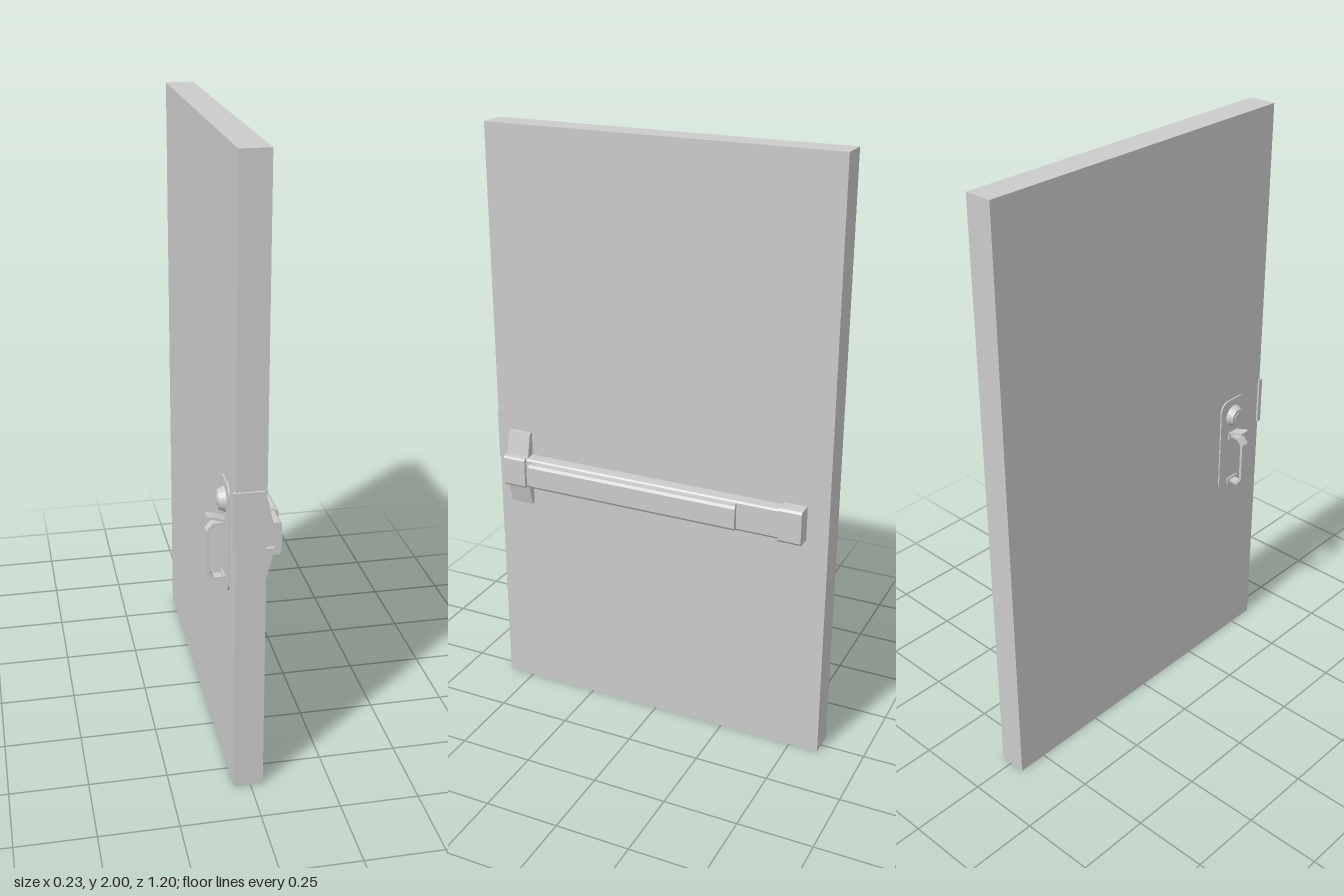
import * as THREE from 'three';

const material = new THREE.MeshStandardMaterial({ color: 0xcccccc });
const flat = new THREE.MeshStandardMaterial({ color: 0xcccccc, flatShading: true });

export function createModel() {
  const model = new THREE.Group();

  const add = (name, geometry, mat = flat, parent = model) => {
    const mesh = new THREE.Mesh(geometry, mat);
    mesh.name = name;
    parent.add(mesh);
    return mesh;
  };
  // Box given by its limits on each axis
  const box = (name, x0, x1, y0, y1, z0, z1, parent) => {
    const mesh = add(name, new THREE.BoxGeometry(x1 - x0, y1 - y0, z1 - z0), flat, parent);
    mesh.position.set((x0 + x1) / 2, (y0 + y1) / 2, (z0 + z1) / 2);
    return mesh;
  };
  const polygon = (points) => new THREE.Shape(points.map(([x, y]) => new THREE.Vector2(x, y)));
  // Profile in x and y, swept along z
  const sweep = (name, shape, z0, z1, parent) => {
    const mesh = add(name, new THREE.ExtrudeGeometry(shape, { depth: z1 - z0, bevelEnabled: false }), flat, parent);
    mesh.position.z = z0;
    return mesh;
  };

  // Door slab
  box('doorSlab', -0.053, 0.04, 0, 2, -0.6, 0.595);

  // Edge guard plate with a lip folded round the outer face
  const guard = new THREE.Group();
  guard.name = 'edgePlate';
  model.add(guard);
  box('edgePlateFace', -0.06, 0.034, 0.853, 1.02, 0.594, 0.602, guard);
  box('edgePlateLip', -0.06, -0.052, 0.853, 1.02, 0.587, 0.602, guard);

  // Exit device on the inner face
  const device = new THREE.Group();
  device.name = 'exitDevice';
  model.add(device);

  // Lock head: sloping wings above and below a square middle, with a latch recess
  const head = polygon([
    [0.04, 0.706], [0.053, 0.706], [0.071, 0.783], [0.092, 0.783], [0.097, 0.79],
    [0.097, 0.882], [0.092, 0.889], [0.071, 0.889], [0.053, 0.968], [0.04, 0.968],
  ]);
  head.holes.push(new THREE.Path([
    [0.045, 0.805], [0.045, 0.867], [0.075, 0.867], [0.075, 0.805],
  ].map(([x, y]) => new THREE.Vector2(x, y))));
  sweep('lockHead', head, 0.466, 0.547, device);
  box('lockHeadLatch', 0.044, 0.076, 0.804, 0.868, 0.466, 0.535, device);

  // Rail body
  sweep('rail', polygon([
    [0.04, 0.783], [0.078, 0.783], [0.085, 0.791], [0.085, 0.881], [0.08, 0.887], [0.04, 0.887],
  ]), -0.452, 0.467, device);

  // Push pad: narrow neck under a chamfered face
  sweep('pushPadNeck', polygon([
    [0.083, 0.793], [0.1, 0.793], [0.1, 0.88], [0.083, 0.88],
  ]), -0.305, 0.437, device);
  sweep('pushPad', polygon([
    [0.097, 0.794], [0.106, 0.794], [0.112, 0.803], [0.112, 0.87], [0.106, 0.879], [0.097, 0.879],
  ]), -0.31, 0.443, device);

  // End cap
  sweep('endCap', polygon([
    [0.04, 0.779], [0.087, 0.779], [0.094, 0.787], [0.094, 0.888], [0.087, 0.895], [0.04, 0.895],
  ]), -0.527, -0.45, device);

  // Pull handle set on the outer face
  const trim = new THREE.Group();
  trim.name = 'outerTrim';
  model.add(trim);
  const zc = 0.45;

  // Backplate with rounded corners, drawn in z and y
  const w = 0.065, y0 = 0.645, y1 = 1.0, r = 0.035;
  const plate = new THREE.Shape();
  plate.absarc(w - r, y1 - r, r, 0, Math.PI / 2, false);
  plate.absarc(-w + r, y1 - r, r, Math.PI / 2, Math.PI, false);
  plate.absarc(-w + r, y0 + r, r, Math.PI, Math.PI * 1.5, false);
  plate.absarc(w - r, y0 + r, r, Math.PI * 1.5, Math.PI * 2, false);
  const plateMesh = add('backplate', new THREE.ExtrudeGeometry(plate, { depth: 0.006, bevelEnabled: false, curveSegments: 8 }), flat, trim);
  plateMesh.rotation.y = -Math.PI / 2;
  plateMesh.position.set(-0.052, 0, zc);

  // Key cylinder collar and its inset face
  const collar = add('cylinderCollar', new THREE.CylinderGeometry(0.029, 0.04, 0.023, 24), flat, trim);
  collar.rotation.z = Math.PI / 2;
  collar.position.set(-0.0685, 0.934, zc);
  const face = add('cylinderFace', new THREE.CylinderGeometry(0.019, 0.019, 0.004, 24), flat, trim);
  face.rotation.z = Math.PI / 2;
  face.position.set(-0.081, 0.934, zc);

  // Grip: a bar bent at four corners; outer outline then inner outline
  sweep('grip', polygon([
    [-0.055, 0.862], [-0.094, 0.862], [-0.115, 0.838], [-0.115, 0.694], [-0.094, 0.67], [-0.055, 0.67],
    [-0.055, 0.679], [-0.091, 0.679], [-0.106, 0.697], [-0.106, 0.835], [-0.091, 0.853], [-0.055, 0.853],
  ]), zc - 0.015, zc + 0.015, trim);
  // Feet where the grip meets the plate
  for (const y of [0.674, 0.858]) box('gripFoot', -0.064, -0.056, y - 0.012, y + 0.012, zc - 0.024, zc + 0.024, trim);

  // Thumb piece: thin lever rising outward with a bent tip
  sweep('thumbPiece', polygon([
    [-0.055, 0.863], [-0.055, 0.871], [-0.095, 0.884], [-0.113, 0.887], [-0.113, 0.88], [-0.094, 0.876],
  ]), zc - 0.02, zc + 0.02, trim);

  return model;
}
